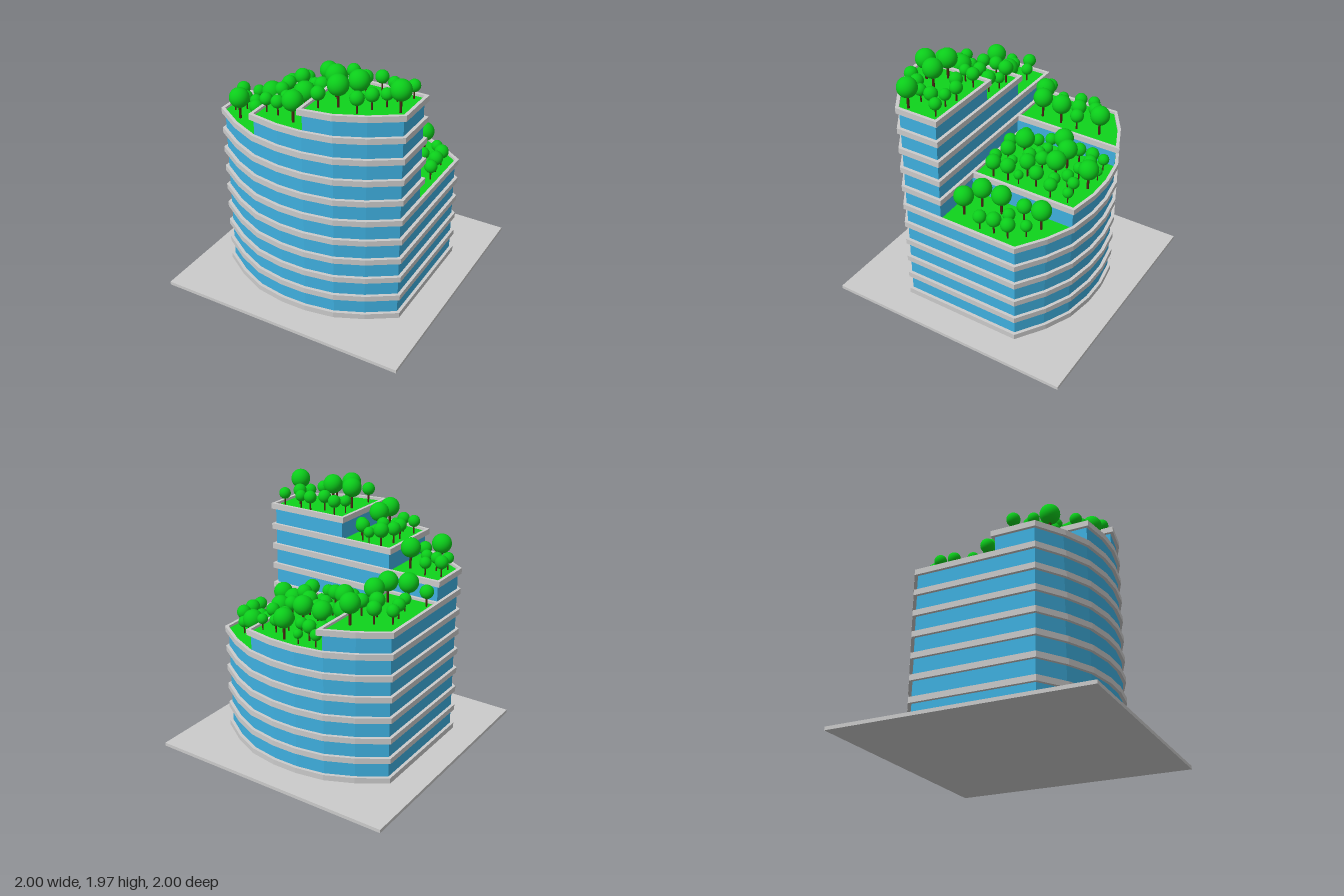
import * as THREE from 'three';

const mat = (color) => new THREE.MeshStandardMaterial({ color });
const GREY = mat(0xcccccc), GLASS = mat(0x3fb0e0), GRASS = mat(0x0fd41c);
const LEAF = mat(0x0bcc1a), BARK = mat(0x4a2a14);

const PITCH = 0.1673, SLAB = 0.045, OVERHANG = 0.025, BASE = 0.027, RIM = 0.02;
const slabTop = (level) => 0.072 + level * PITCH;

// Bowed facade: depth |z| of the glass line against |x|
const BOW = [[0, 0.742], [0.1, 0.742], [0.325, 0.705], [0.535, 0.61], [0.74, 0.475]];

function depthAt(x) {
  const a = Math.abs(x);
  const i = Math.max(1, BOW.findIndex((p) => p[0] >= a - 1e-6));
  const [p, q] = [BOW[i - 1], BOW[i]];
  return p[1] + (q[1] - p[1]) * (a - p[0]) / (q[0] - p[0]);
}

// Points along the front (side 1) or back (side -1) facade from x0 to x1
function facade(x0, x1, side) {
  const xs = BOW.slice(1).flatMap((p) => [-p[0], p[0]]).filter((x) => x > x0 + 0.01 && x < x1 - 0.01);
  return [x0, ...xs.sort((a, b) => a - b), x1].map((x) => new THREE.Vector2(x, side * depthAt(x)));
}

// Counter-clockwise plans in (x, z)
const fullPlan = () => [...facade(-0.74, 0.74, -1), ...facade(-0.74, 0.74, 1).reverse()];
const frontPlan = (x0) => [
  new THREE.Vector2(x0, 0.162), new THREE.Vector2(0.74, 0.162), ...facade(x0, 0.74, 1).reverse()];
const backPlan = (x1) => [
  ...facade(-0.74, x1, -1), new THREE.Vector2(x1, 0.2), new THREE.Vector2(-0.74, 0.2)];

// Push every edge of a convex plan outwards by d
function outset(plan, d) {
  const n = plan.length;
  return plan.map((p, i) => {
    const e0 = p.clone().sub(plan[(i + n - 1) % n]).normalize();
    const e1 = plan[(i + 1) % n].clone().sub(p).normalize();
    const n0 = new THREE.Vector2(e0.y, -e0.x), n1 = new THREE.Vector2(e1.y, -e1.x);
    const k = d / (1 + n0.dot(n1));
    return p.clone().add(n0.add(n1).multiplyScalar(k));
  });
}

// Upright prism over a plan between two heights, with an optional hole
function prism(name, plan, y0, y1, material, hole) {
  const shape = new THREE.Shape(plan);
  if (hole) shape.holes.push(new THREE.Path(hole));
  const geo = new THREE.ExtrudeGeometry(shape, { depth: y1 - y0, bevelEnabled: false });
  geo.rotateX(Math.PI / 2);
  geo.translate(0, y1, 0);
  const mesh = new THREE.Mesh(geo, material);
  mesh.name = name;
  return mesh;
}

// Storeys sharing one plan: glass wall, overhanging slab rims, planted roof
function block(name, plan, first, last) {
  const g = new THREE.Group();
  g.name = name;
  const bottom = first === 0 ? BASE : slabTop(first - 1) - SLAB;
  const top = slabTop(last);
  g.add(prism('glassWalls', plan, bottom, top - SLAB, GLASS));
  g.add(prism('roofLawn', plan, top - SLAB, top - RIM, GRASS));
  for (let k = first; k <= last; k++) {
    g.add(prism('floorSlab', outset(plan, OVERHANG), slabTop(k) - SLAB, slabTop(k), GREY, plan));
  }
  return g;
}

// Roof gardens: x range, facade side, tree count and the places of the big trees
const GARDENS = [
  { level: 5, x0: 0.35, x1: 0.74, side: -1, count: 10, big: [[0.45, -0.52], [0.45, -0.18], [0.45, -0.01], [0.6, 0.05]] },
  { level: 6, x0: -0.3, x1: 0.32, side: -1, count: 32, big: [[0.04, -0.67], [-0.11, -0.41], [0.06, -0.41], [-0.07, -0.06], [-0.23, -0.31]] },
  { level: 7, x0: -0.74, x1: -0.32, side: -1, count: 11, big: [[-0.42, -0.51], [-0.41, -0.18], [-0.42, -0.01], [-0.56, 0.05]] },
  { level: 8, x0: -0.74, x1: -0.35, side: 1, count: 8, big: [[-0.42, 0.31], [-0.57, 0.52]] },
  { level: 9, x0: -0.32, x1: 0.08, side: 1, count: 12, big: [[-0.03, 0.48], [-0.03, 0.64]] },
  { level: 10, x0: 0.1, x1: 0.74, side: 1, count: 15, big: [[0.2, 0.44], [0.38, 0.44], [0.69, 0.43], [0.29, 0.57]] },
];

function seeded(seed) {
  let s = seed;
  return () => (s = (s * 16807) % 2147483647) / 2147483647;
}

// Big trees first, then smaller ones scattered in the gaps
function plantTrees({ level, x0, x1, side, count, big }) {
  const rand = seeded(7919 * (level + 1));
  const trees = big.map(([x, z]) => ({ x, z, r: 0.076 }));
  const inner = side > 0 ? 0.2 : -0.09;
  for (let tries = 0; trees.length < count && tries < 4000; tries++) {
    const r = 0.062 - 0.026 * Math.min(1, 0.7 * rand() + tries / 1500);
    const x = x0 + 0.04 + rand() * (x1 - x0 - 0.08);
    const z = side * (inner + rand() * (depthAt(x) - 0.06 - inner));
    if (trees.every((t) => Math.hypot(t.x - x, t.z - z) > 0.95 * (t.r + r))) trees.push({ x, z, r });
  }
  return trees;
}

function createTree(crownGeo, trunkGeo, x, y, z, r) {
  const tree = new THREE.Group();
  tree.name = 'tree';
  const h = 2.2 * r;
  const trunk = new THREE.Mesh(trunkGeo, BARK);
  trunk.name = 'trunk';
  trunk.scale.set(r * 0.13, h, r * 0.13);
  trunk.position.y = h / 2;
  const crown = new THREE.Mesh(crownGeo, LEAF);
  crown.name = 'crown';
  crown.scale.setScalar(r);
  crown.position.y = h;
  tree.add(trunk, crown);
  tree.position.set(x, y, z);
  return tree;
}

export function createModel() {
  const model = new THREE.Group();
  model.name = 'terracedBuilding';

  const ground = new THREE.Mesh(new THREE.BoxGeometry(2, BASE, 2), GREY);
  ground.name = 'groundPlate';
  ground.position.y = BASE / 2;
  model.add(ground);

  // Shared lower floors, then stepped wings at the back and the front
  model.add(
    block('lowerFloors', fullPlan(), 0, 5),
    block('backMiddleTerrace', backPlan(0.322), 6, 6),
    block('backRightTerrace', backPlan(-0.318), 7, 7),
    block('frontWing', frontPlan(-0.74), 6, 8),
    block('frontMiddleTerrace', frontPlan(-0.32), 9, 9),
    block('frontTopTerrace', frontPlan(0.105), 10, 10),
  );

  // Roof gardens
  const crownGeo = new THREE.SphereGeometry(1, 28, 18);
  const trunkGeo = new THREE.CylinderGeometry(1, 1, 1, 8);
  for (const spec of GARDENS) {
    const garden = new THREE.Group();
    garden.name = 'roofGarden';
    for (const { x, z, r } of plantTrees(spec)) {
      garden.add(createTree(crownGeo, trunkGeo, x, slabTop(spec.level) - RIM, z, r));
    }
    model.add(garden);
  }
  return model;
}
